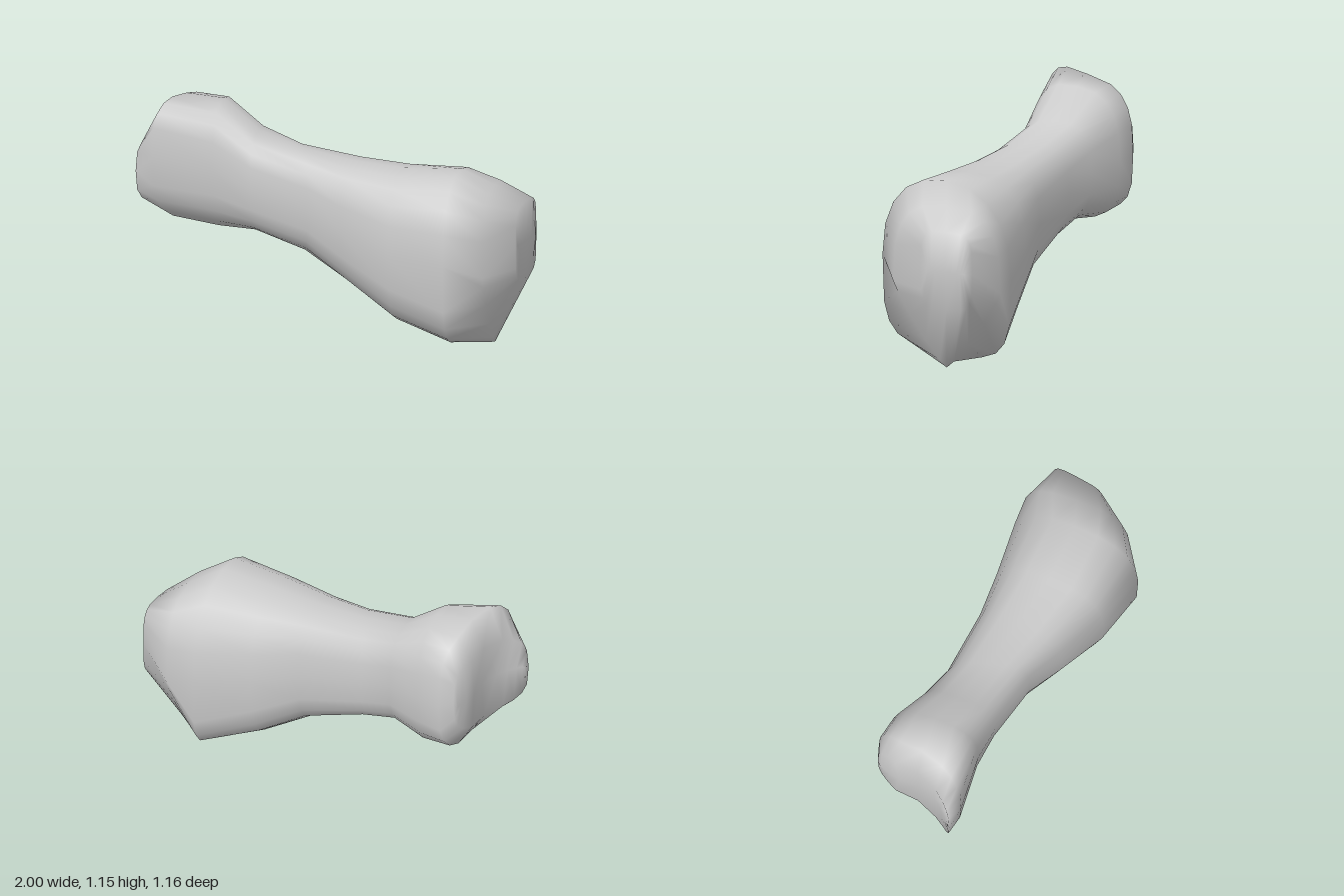
import * as THREE from 'three';
import { mergeVertices } from 'three/addons/utils/BufferGeometryUtils.js';

// Cross-sections from the small grooved end to the large end:
// front edge x,z | back edge x,z | bottom y, top y | tilt (front edge higher) |
// groove depth | squareness of the upper and lower half
const SECTIONS = [
  [-0.98, -0.195, -0.70, -0.57, 0.77, 0.77, 0.02, 0.06, 3, 3],
  [-1.00, -0.18, -0.685, -0.58, 0.58, 0.98, 0.0, 0.05, 3.4, 3.4],
  [-0.92, -0.13, -0.61, -0.585, 0.485, 1.135, 0.055, 0.03, 3.2, 3.0],
  [-0.62, -0.08, -0.49, -0.53, 0.455, 1.12, 0.03, 0, 2.7, 2.7],
  [-0.43, -0.02, -0.33, -0.40, 0.475, 0.985, 0, 0, 2.8, 2.8],
  [-0.15, 0.12, -0.17, -0.30, 0.41, 0.925, 0, 0, 2.8, 2.8],
  [0.02, 0.26, 0.17, -0.18, 0.285, 0.90, 0, 0, 2.8, 2.8],
  [0.25, 0.44, 0.42, -0.13, 0.13, 0.90, 0.01, 0, 2.6, 3],
  [0.52, 0.58, 0.72, -0.08, 0.04, 0.925, 0.035, 0, 2.3, 4],
  [0.72, 0.51, 0.86, -0.04, 0.005, 0.835, 0.01, 0, 3, 1.15],
  [0.89, 0.36, 1.00, 0.09, 0.34, 0.745, 0, 0, 4, 4],
  [0.90, 0.33, 0.995, 0.13, 0.54, 0.54, 0, 0, 4, 4],
];
const SIDES = 20;

const soften = (v, n) => Math.sign(v) * Math.pow(Math.abs(v), 2 / n);

function loftBone() {
  const positions = [];
  const index = [];
  for (const [fx, fz, bx, bz, y0, y1, tilt, groove, upper, lower] of SECTIONS) {
    for (let j = 0; j < SIDES; j++) {
      const a = (j / SIDES) * Math.PI * 2;
      const n = j < SIDES / 2 ? upper : lower;
      const c = soften(Math.cos(a), n);
      const s = soften(Math.sin(a), n);
      const k = (1 - c) / 2;
      // Hollow between the two condyles, nearer the front one
      const dip = groove * Math.max(0, 1 - ((c - 0.25) / 0.75) ** 2);
      positions.push(
        fx + (bx - fx) * k + dip * 0.9,
        (y0 + y1) / 2 + ((y1 - y0) / 2) * s + tilt * c,
        fz + (bz - fz) * k + dip * 0.4,
      );
    }
  }
  for (let i = 0; i < SECTIONS.length - 1; i++) {
    for (let j = 0; j < SIDES; j++) {
      const a = i * SIDES + j;
      const b = i * SIDES + ((j + 1) % SIDES);
      index.push(a, a + SIDES, b, b, a + SIDES, b + SIDES);
    }
  }
  const geometry = new THREE.BufferGeometry();
  geometry.setAttribute('position', new THREE.Float32BufferAttribute(positions, 3));
  geometry.setIndex(index);
  // The end rings collapse to a line, so weld them shut
  const welded = mergeVertices(geometry, 1e-4);
  welded.computeVertexNormals();
  return welded;
}

export function createModel() {
  const group = new THREE.Group();
  group.name = 'fingerBone';
  const bone = new THREE.Mesh(loftBone(), new THREE.MeshStandardMaterial({ color: 0xcccccc }));
  bone.name = 'bone';
  group.add(bone);
  return group;
}
